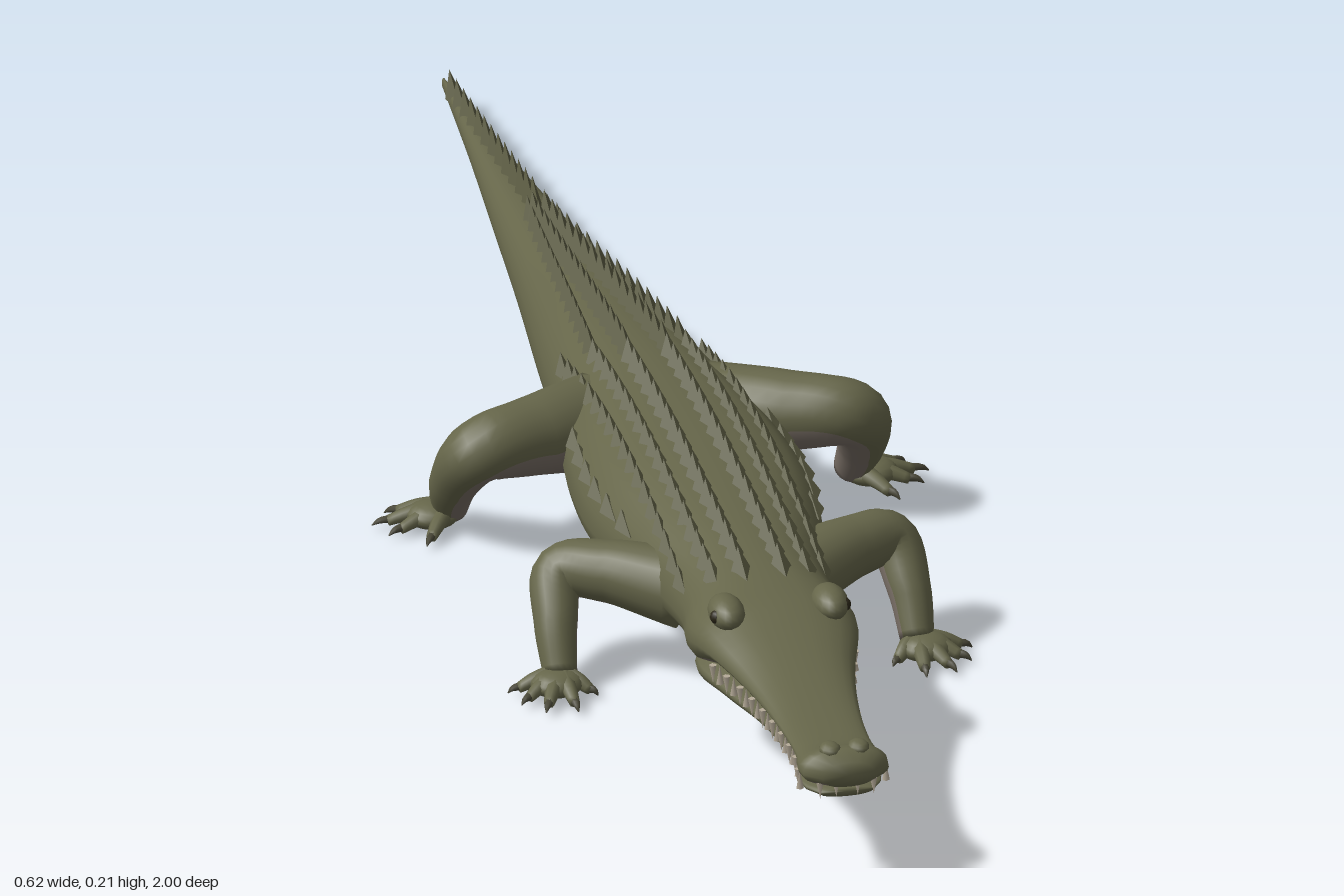
import * as THREE from 'three';
import { mergeGeometries } from 'three/addons/utils/BufferGeometryUtils.js';

const V = (x, y, z) => new THREE.Vector3(x, y, z);

// cross-sections: z, half width, top, widest height, bottom
const BODY = [
  [-1, 0.002, 0.032, 0.026, 0.02], [-0.8, 0.018, 0.055, 0.038, 0.018],
  [-0.6, 0.036, 0.08, 0.048, 0.016], [-0.4, 0.055, 0.11, 0.06, 0.016],
  [-0.2, 0.078, 0.145, 0.075, 0.022], [0, 0.1, 0.176, 0.09, 0.035],
  [0.15, 0.123, 0.187, 0.1, 0.037], [0.28, 0.128, 0.19, 0.105, 0.043],
  [0.4, 0.11, 0.188, 0.11, 0.05], [0.5, 0.09, 0.185, 0.115, 0.065],
  [0.56, 0.087, 0.182, 0.12, 0.072], [0.61, 0.094, 0.178, 0.125, 0.078],
  [0.65, 0.09, 0.177, 0.133, 0.1], [0.68, 0.083, 0.17, 0.135, 0.116],
  [0.74, 0.066, 0.157, 0.132, 0.119], [0.8, 0.054, 0.146, 0.13, 0.119],
  [0.88, 0.045, 0.137, 0.128, 0.118], [0.94, 0.045, 0.141, 0.129, 0.117],
  [0.965, 0.05, 0.152, 0.13, 0.115], [0.988, 0.046, 0.156, 0.13, 0.115],
  [1, 0.03, 0.147, 0.13, 0.118],
];
const JAW = [
  [0.56, 0.06, 0.12, 0.1, 0.077], [0.62, 0.086, 0.118, 0.097, 0.07],
  [0.7, 0.073, 0.114, 0.1, 0.08], [0.8, 0.05, 0.113, 0.105, 0.09],
  [0.9, 0.041, 0.113, 0.107, 0.098], [0.97, 0.043, 0.114, 0.108, 0.1],
  [0.99, 0.03, 0.112, 0.108, 0.102],
];
const SQUARE = 0.82; // below 1 makes the sections boxier

// smooth reading of a section table at any z
function sampler(table) {
  const cubic = new THREE.CubicInterpolant(
    table.map((r) => r[0]), table.flatMap((r) => r.slice(1)), 4, new Array(4).fill(0));
  return (z) => Array.from(cubic.evaluate(z));
}
const bodyAt = sampler(BODY);
const jawAt = sampler(JAW);

// height of the back at x, z
function backHeight(x, z) {
  const [w, top, mid] = bodyAt(z);
  const c = Math.min(1, Math.abs(x) / w) ** (1 / SQUARE);
  return mid + (top - mid) * Math.sqrt(1 - c * c);
}

// skin over closed rings; faces chosen by isBelly go in material group 1
function loft(rings, isBelly) {
  const n = rings[0].length, pos = [], lists = [[], []];
  rings.forEach((r) => r.forEach((p) => pos.push(p.x, p.y, p.z)));
  for (let i = 0; i < rings.length - 1; i++) for (let j = 0; j < n; j++) {
    const a = i * n + j, b = i * n + (j + 1) % n;
    lists[isBelly(j, n) ? 1 : 0].push(a, b, a + n, b, b + n, a + n);
  }
  [0, rings.length - 1].forEach((i, end) => {
    const c = rings[i].reduce((s, p) => s.add(p), V(0, 0, 0)).divideScalar(n);
    const k = pos.push(c.x, c.y, c.z) / 3 - 1;
    for (let j = 0; j < n; j++) {
      const a = i * n + j, b = i * n + (j + 1) % n;
      lists[0].push(...(end ? [a, b, k] : [b, a, k]));
    }
  });
  const g = new THREE.BufferGeometry();
  g.setAttribute('position', new THREE.Float32BufferAttribute(pos, 3));
  g.setIndex([...lists[0], ...lists[1]]);
  g.addGroup(0, lists[0].length, 0);
  g.addGroup(lists[0].length, lists[1].length, 1);
  g.computeVertexNormals();
  return g;
}

// body-like loft along z
function sectionLoft(at, z0, z1, steps, n = 24) {
  const rings = [];
  for (let i = 0; i <= steps; i++) {
    const z = z0 + (z1 - z0) * i / steps, [w, top, mid, bot] = at(z);
    rings.push(Array.from({ length: n }, (_, j) => {
      const a = j / n * Math.PI * 2, c = Math.cos(a), s = Math.sin(a);
      return V(w * Math.sign(c) * Math.abs(c) ** SQUARE, mid + s * (s > 0 ? top - mid : mid - bot), z);
    }));
  }
  return loft(rings, (j) => j >= n * 14 / 24 && j < n * 22 / 24);
}

// tapering limb through points [x, y, z, radius], with a pale inner side
function limb(points, side, steps, n) {
  const curve = new THREE.CatmullRomCurve3(points.map((p) => V(p[0] * side, p[1], p[2])));
  const rings = [];
  for (let i = 0; i <= steps; i++) {
    const t = i / steps, f = t * (points.length - 1), k = Math.min(Math.floor(f), points.length - 2);
    const r = THREE.MathUtils.lerp(points[k][3], points[k + 1][3], f - k);
    const d = curve.getTangent(t), c = curve.getPoint(t);
    const u = V(-0.6 * side, -0.75, 0);
    u.addScaledVector(d, -u.dot(d)).normalize();
    const v = d.clone().cross(u);
    rings.push(Array.from({ length: n }, (_, j) => {
      const a = j / n * Math.PI * 2;
      return c.clone().addScaledVector(u, r * Math.cos(a)).addScaledVector(v, r * Math.sin(a));
    }));
  }
  return loft(rings, (j, m) => j < m / 6 || j >= m * 5 / 6);
}

// four-sided keeled scale whose tip leans toward the tail
function scute(x, z, width, length, height) {
  const g = new THREE.ConeGeometry(0.5, 1, 4, 1, true).toNonIndexed();
  const p = g.attributes.position;
  for (let i = 0; i < p.count; i++) {
    const h = p.getY(i) + 0.5;
    p.setXYZ(i, p.getX(i) * width * 2, h * (height + 0.006) - 0.006, p.getZ(i) * length * 2 - h * length * 0.7);
  }
  g.computeVertexNormals();
  return g.translate(x, backHeight(x, z), z);
}

export function createModel() {
  const mat = (name, color) => Object.assign(new THREE.MeshStandardMaterial({ color }), { name });
  const hide = mat('olive hide', 0x66664a), belly = mat('belly', 0x776d64);
  const scale = mat('back scales', 0x58583f), ivory = mat('teeth', 0xb5aa98);
  const claw = mat('claws', 0x4a4838), dark = mat('eyes', 0x2b2618);
  const model = new THREE.Group();
  const add = (name, geometry, material, parent = model) => {
    const m = new THREE.Mesh(geometry, material);
    m.name = name;
    parent.add(m);
    return m;
  };

  add('body', sectionLoft(bodyAt, -1, 1, 130), [hide, belly]);
  add('lowerJaw', sectionLoft(jawAt, 0.56, 0.99, 24), [hide, belly]);

  // rows of scales along the back, then the tail crest
  const scutes = [];
  const row = (z0, z1, step, xAt, size) => {
    for (let z = z0; z > z1; z -= step) for (const s of [1, -1]) scutes.push(scute(s * xAt(z), z, ...size(z)));
  };
  row(0.57, 0.0, 0.032, () => 0.022, () => [0.014, 0.032, 0.018]);
  row(0.56, -0.02, 0.032, () => 0.052, () => [0.012, 0.03, 0.013]);
  row(0.52, -0.06, 0.034, () => 0.079, () => [0.01, 0.026, 0.012]);
  row(0.36, 0.08, 0.045, (z) => bodyAt(z)[0] * 0.9, () => [0.012, 0.028, 0.008]);
  row(0.0, -0.52, 0.034, (z) => 0.022 + z * 0.03, () => [0.012, 0.034, 0.024]);
  row(-0.05, -0.54, 0.036, (z) => 0.055 + z * 0.085, () => [0.01, 0.032, 0.018]);
  for (let z = -0.54; z > -0.98; z -= 0.034) scutes.push(scute(0, z, 0.01, 0.034, 0.032 + (z + 0.54) * 0.035));
  add('backScales', mergeGeometries(scutes), scale);

  // teeth along both jaws
  const teeth = [];
  for (let i = 0; i < 20; i++) for (const s of [1, -1]) {
    const z = 0.68 + i * 0.0152, up = i % 2;
    const g = new THREE.ConeGeometry(0.0045, 0.022, 5);
    if (!up) g.rotateX(Math.PI);
    teeth.push(g.translate(s * (bodyAt(z)[0] * 0.96), up ? 0.118 : 0.112, z));
  }
  for (const x of [-0.03, -0.012, 0.012, 0.03]) {
    teeth.push(new THREE.ConeGeometry(0.0045, 0.02, 5).rotateX(Math.PI).translate(x, 0.112, 0.99));
  }
  add('teeth', mergeGeometries(teeth), ivory);

  for (const s of [1, -1]) {
    const label = s > 0 ? 'left' : 'right';

    // brow, eye and nostril
    const brow = add(label + 'Brow', new THREE.SphereGeometry(1, 16, 10), hide);
    brow.scale.set(0.02, 0.018, 0.032);
    brow.position.set(s * 0.058, 0.171, 0.65);
    const eye = add(label + 'Eye', new THREE.SphereGeometry(0.008, 12, 8), dark);
    eye.position.set(s * 0.071, 0.172, 0.662);
    const nostril = add(label + 'Nostril', new THREE.SphereGeometry(1, 10, 8), hide);
    nostril.scale.set(0.012, 0.008, 0.014);
    nostril.position.set(s * 0.016, 0.154, 0.976);

    // legs: joints from body to ankle, then toe tips
    const legs = {
      FrontLeg: {
        joints: [[0.06, 0.105, 0.45, 0.045], [0.135, 0.115, 0.41, 0.035], [0.185, 0.11, 0.39, 0.03],
          [0.198, 0.065, 0.425, 0.024], [0.2, 0.02, 0.455, 0.019]],
        toes: [[0.165, 0.49], [0.195, 0.525], [0.23, 0.52], [0.252, 0.495], [0.26, 0.462]],
      },
      HindLeg: {
        joints: [[0.06, 0.105, 0.02, 0.055], [0.145, 0.122, 0.075, 0.044], [0.21, 0.122, 0.1, 0.036],
          [0.228, 0.07, 0.06, 0.028], [0.225, 0.02, 0.022, 0.02]],
        toes: [[0.265, 0.085], [0.3, 0.05], [0.312, 0.02], [0.292, -0.008]],
      },
    };
    for (const [name, { joints, toes }] of Object.entries(legs)) {
      const leg = new THREE.Group();
      leg.name = label + name;
      model.add(leg);
      add('leg', limb(joints, s, 28, 18), [hide, belly], leg);
      const [ax, , az] = joints[4];
      const foot = add('foot', new THREE.SphereGeometry(1, 16, 10), hide, leg);
      foot.scale.set(0.03, 0.015, 0.027);
      const mx = toes.reduce((t, p) => t + p[0], 0) / toes.length, mz = toes.reduce((t, p) => t + p[1], 0) / toes.length;
      foot.position.set(s * (ax + (mx - ax) * 0.3), 0.015, az + (mz - az) * 0.3);
      for (const [tx, tz] of toes) {
        const at = (t, y, r) => [ax + (tx - ax) * t, y, az + (tz - az) * t, r];
        add('toe', limb([at(0.1, 0.02, 0.012), at(0.5, 0.016, 0.009), at(0.8, 0.009, 0.006)], s, 8, 8), [hide, hide], leg);
        add('claw', limb([at(0.74, 0.011, 0.005), at(0.9, 0.01, 0.004), at(1, 0.005, 0.0006)], s, 5, 6), [claw, claw], leg);
      }
    }
  }
  return model;
}
